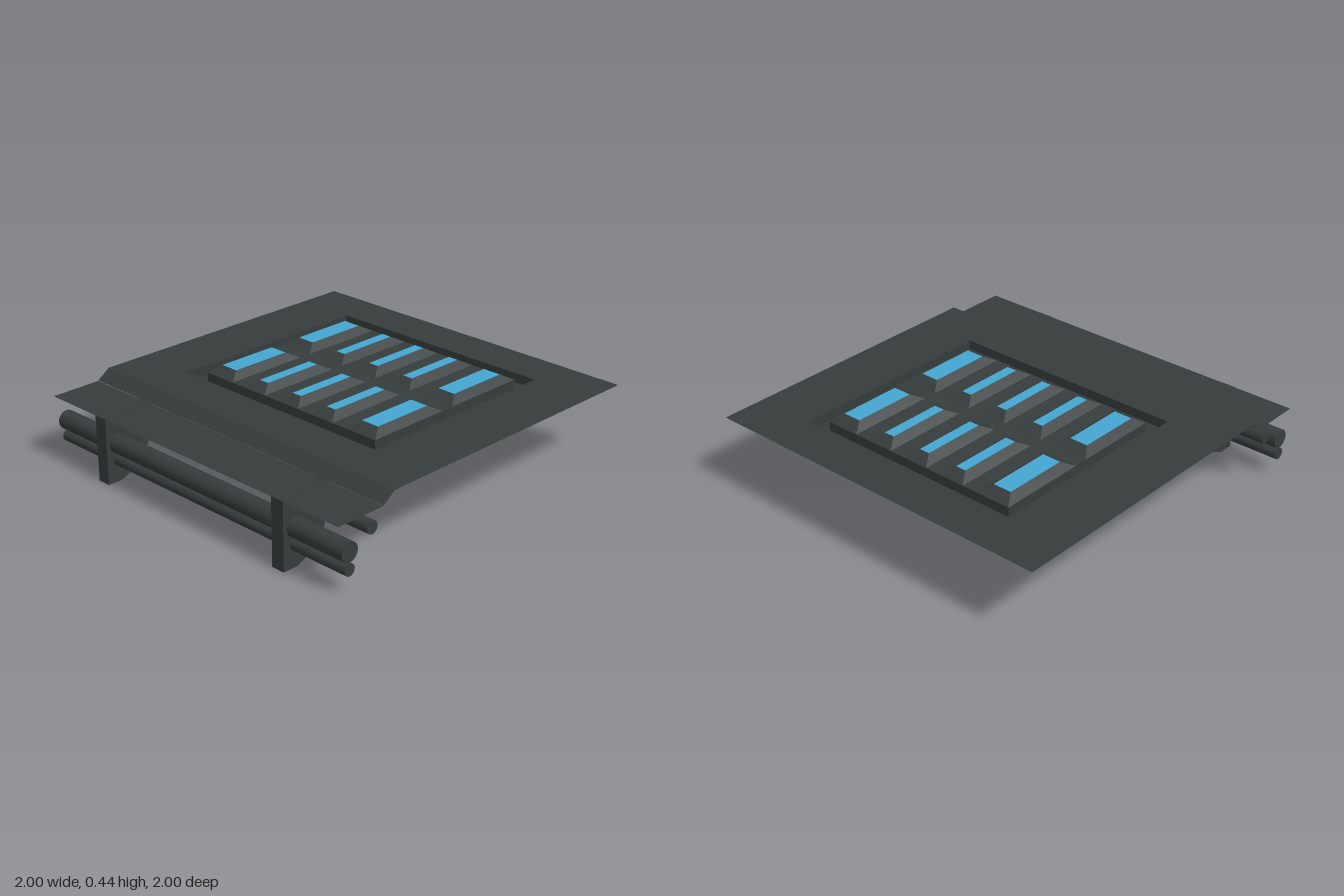
import * as THREE from 'three';
import { toCreasedNormals } from 'three/addons/utils/BufferGeometryUtils.js';

const metal = new THREE.MeshStandardMaterial({ color: 0x363c3c, side: THREE.DoubleSide });
metal.name = 'dark metal';
const glow = new THREE.MeshStandardMaterial({ color: 0x44a7d2, side: THREE.DoubleSide });
glow.name = 'light blue';

const DECK = 0.405, LOW = 0.355, LENS = 0.44;

// rectangle in plan: x0, x1, z0, z1
const corners = ([x0, x1, z0, z1], y) => [[x0, y, z0], [x1, y, z0], [x1, y, z1], [x0, y, z1]];

// faces joining a series of rectangles [rect, height]
function loft(rings) {
  const pos = [];
  for (let r = 0; r < rings.length - 1; r++) {
    const a = corners(...rings[r]), b = corners(...rings[r + 1]);
    for (let i = 0; i < 4; i++) {
      const j = (i + 1) % 4;
      pos.push(...a[i], ...b[i], ...b[j], ...a[i], ...b[j], ...a[j]);
    }
  }
  const g = new THREE.BufferGeometry();
  g.setAttribute('position', new THREE.Float32BufferAttribute(pos, 3));
  g.computeVertexNormals();
  return g;
}

// flat sheet facing up, with rectangular holes
function sheet(rect, y, holes = []) {
  const outline = (r) => corners(r, 0).map(([x, , z]) => new THREE.Vector2(x, -z));
  const shape = new THREE.Shape(outline(rect));
  for (const h of holes) shape.holes.push(new THREE.Path(outline(h)));
  return new THREE.ShapeGeometry(shape).rotateX(-Math.PI / 2).translate(0, y, 0);
}

export function createModel() {
  const model = new THREE.Group();
  model.name = 'floorPanel';
  const add = (name, geometry, material = metal) => {
    const mesh = new THREE.Mesh(geometry, material);
    mesh.name = name;
    model.add(mesh);
    return mesh;
  };

  const frame = [-0.41, 0.76, -0.665, 0.66];
  const block = [-0.335, 0.69, -0.59, 0.585];

  // Main deck, sloped step and lower ledge
  add('deck', sheet([-0.65, 1, -1, 1], DECK, [frame]));
  const step = new THREE.PlaneGeometry(Math.hypot(0.07, DECK - LOW), 2).rotateX(-Math.PI / 2);
  step.rotateZ(Math.atan2(DECK - LOW, 0.07)).translate(-0.685, (DECK + LOW) / 2, 0);
  add('step', step);
  add('ledge', sheet([-1, -0.72, -1, 1], LOW - 0.002));

  // Sunken channel around the raised grille bed
  add('channel', loft([[frame, DECK], [frame, LOW], [block, LOW], [block, DECK]]));

  // Two columns of hollow bevelled vents, each with a light on top
  const columns = [[-0.335, 0.14], [0.21, 0.69]];
  const rows = [[-0.59, -0.4], [-0.31, -0.165], [-0.075, 0.07], [0.16, 0.305], [0.395, 0.585]];
  const holes = [];
  for (const [x0, x1] of columns) {
    for (const [z0, z1] of rows) {
      const base = [x0, x1, z0, z1];
      const top = [x0 + 0.065, x1 - 0.065, z0 + 0.043, z1 - 0.043];
      holes.push(base);
      add('vent', loft([[base, DECK], [top, LENS]]));
      add('ventLight', sheet(top, LENS), glow);
    }
  }

  // Bars of the grille bed between the vents
  for (let i = 0; i < rows.length - 1; i++) {
    add('crossBar', sheet([block[0], block[1], rows[i][1], rows[i + 1][0]], DECK));
  }
  for (const [z0, z1] of rows) add('centreBar', sheet([columns[0][1], columns[1][0], z0, z1], DECK));

  // Pipe brackets under the ledge
  const profile = [[-1, LOW], [-1, 0], [-0.92, 0], [-0.78, 0.06], [-0.72, 0.2], [-0.72, LOW]];
  const bracketShape = new THREE.Shape(profile.map(([x, y]) => new THREE.Vector2(x, y)));
  for (const z of [-0.662, 0.585]) {
    const g = new THREE.ExtrudeGeometry(bracketShape, { depth: 0.075, bevelEnabled: false });
    add('bracket', toCreasedNormals(g, 1.2)).position.z = z;
  }

  // Pipes running the full length: x, y, radius
  for (const [x, y, r] of [[-0.79, 0.274, 0.033], [-0.93, 0.206, 0.05], [-0.93, 0.119, 0.031]]) {
    add('pipe', new THREE.CylinderGeometry(r, r, 2, 20).rotateX(Math.PI / 2)).position.set(x, y, 0);
  }
  return model;
}
